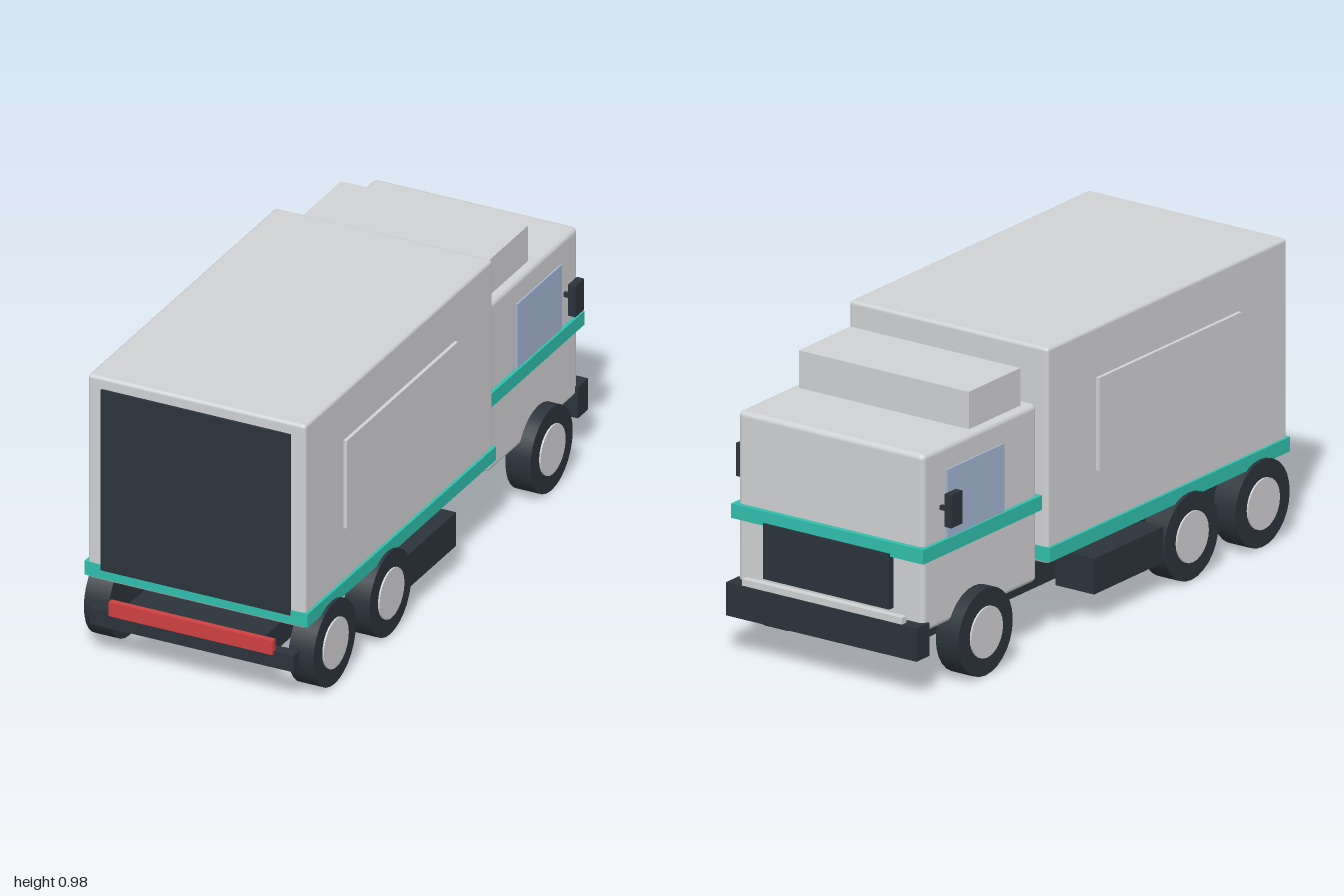
import * as THREE from 'three';
import { RoundedBoxGeometry } from 'three/addons/geometries/RoundedBoxGeometry.js';

const material = (name, color) => {
  const m = new THREE.MeshStandardMaterial({ color });
  m.name = name;
  return m;
};

export function createModel() {
  const truck = new THREE.Group();
  truck.name = 'truck';

  const paint = material('bodyGrey', 0xd0d1d4);
  const dark = material('darkGrey', 0x2b333b);
  const teal = material('tealTrim', 0x30bfad);
  const red = material('redLight', 0xd04040);
  const glass = material('windowBlue', 0xa3b5d3);

  // Box given by its extents on each axis, optionally with rounded edges
  const box = (name, mat, [x0, x1], [y0, y1], [z0, z1], radius = 0) => {
    const size = [x1 - x0, y1 - y0, z1 - z0];
    const geometry = radius
      ? new RoundedBoxGeometry(...size, 3, radius)
      : new THREE.BoxGeometry(...size);
    const mesh = new THREE.Mesh(geometry, mat);
    mesh.name = name;
    mesh.position.set((x0 + x1) / 2, (y0 + y1) / 2, (z0 + z1) / 2);
    truck.add(mesh);
    return mesh;
  };
  const wide = (half) => [-half, half];
  const onSide = (side, a, b) => (side > 0 ? [a, b] : [-b, -a]);

  // Chassis and bumpers
  box('chassis', dark, wide(0.24), [0.115, 0.2], [-0.88, 0.96]);
  box('rearBumper', dark, wide(0.36), [0.118, 0.175], [0.95, 0.993]);
  box('rearLight', red, wide(0.29), [0.165, 0.215], [0.98, 1.0]);
  box('frontBumper', dark, wide(0.37), [0.13, 0.24], [-1.0, -0.93]);
  box('frontLightBar', paint, wide(0.31), [0.24, 0.262], [-0.995, -0.97]);

  // Cargo body
  box('cargoBody', paint, wide(0.385), [0.26, 0.98], [-0.32, 0.96], 0.012);
  box('cargoBand', teal, wide(0.395), [0.27, 0.318], [-0.322, 0.963]);
  box('rearDoor', dark, wide(0.335), [0.302, 0.94], [0.955, 0.969]);

  // Cab
  box('cabBody', paint, wide(0.36), [0.205, 0.8], [-0.95, -0.34], 0.018);
  box('cabBelt', teal, wide(0.373), [0.445, 0.493], [-0.968, -0.332]);
  box('roofFairing', paint, wide(0.33), [0.79, 0.925], [-0.665, -0.39]);
  box('grille', dark, wide(0.245), [0.27, 0.455], [-0.974, -0.945]);

  // Wheel with hub, axle along x
  const tyreGeometry = new THREE.CylinderGeometry(0.145, 0.145, 0.088, 28).rotateZ(Math.PI / 2);
  const hubGeometry = new THREE.CylinderGeometry(0.085, 0.085, 0.05, 24).rotateZ(Math.PI / 2);
  const addWheel = (side, z) => {
    const wheel = new THREE.Group();
    wheel.name = 'wheel';
    const tyre = new THREE.Mesh(tyreGeometry, dark);
    tyre.name = 'tyre';
    const hub = new THREE.Mesh(hubGeometry, paint);
    hub.name = 'hub';
    hub.position.x = side * 0.025;
    wheel.add(tyre, hub);
    wheel.position.set(side * 0.362, 0.145, z);
    truck.add(wheel);
  };

  // Mirrored parts
  for (const side of [-1, 1]) {
    for (const z of [-0.68, 0.42, 0.8]) addWheel(side, z);
    box('cargoSidePanel', paint, onSide(side, 0.38, 0.397), [0.5, 0.81], [-0.06, 0.7]);
    box('sideWindow', glass, onSide(side, 0.357, 0.366), [0.48, 0.72], [-0.83, -0.525]);
    box('mirrorArm', dark, onSide(side, 0.355, 0.4), [0.595, 0.61], [-0.862, -0.85]);
    box('mirror', dark, onSide(side, 0.392, 0.418), [0.55, 0.66], [-0.88, -0.82]);
    // The tank on the -x side is slightly longer
    box('sideTank', dark, onSide(side, 0.25, 0.4), [0.098, 0.217], [side > 0 ? -0.04 : -0.092, 0.28]);
  }

  return truck;
}
